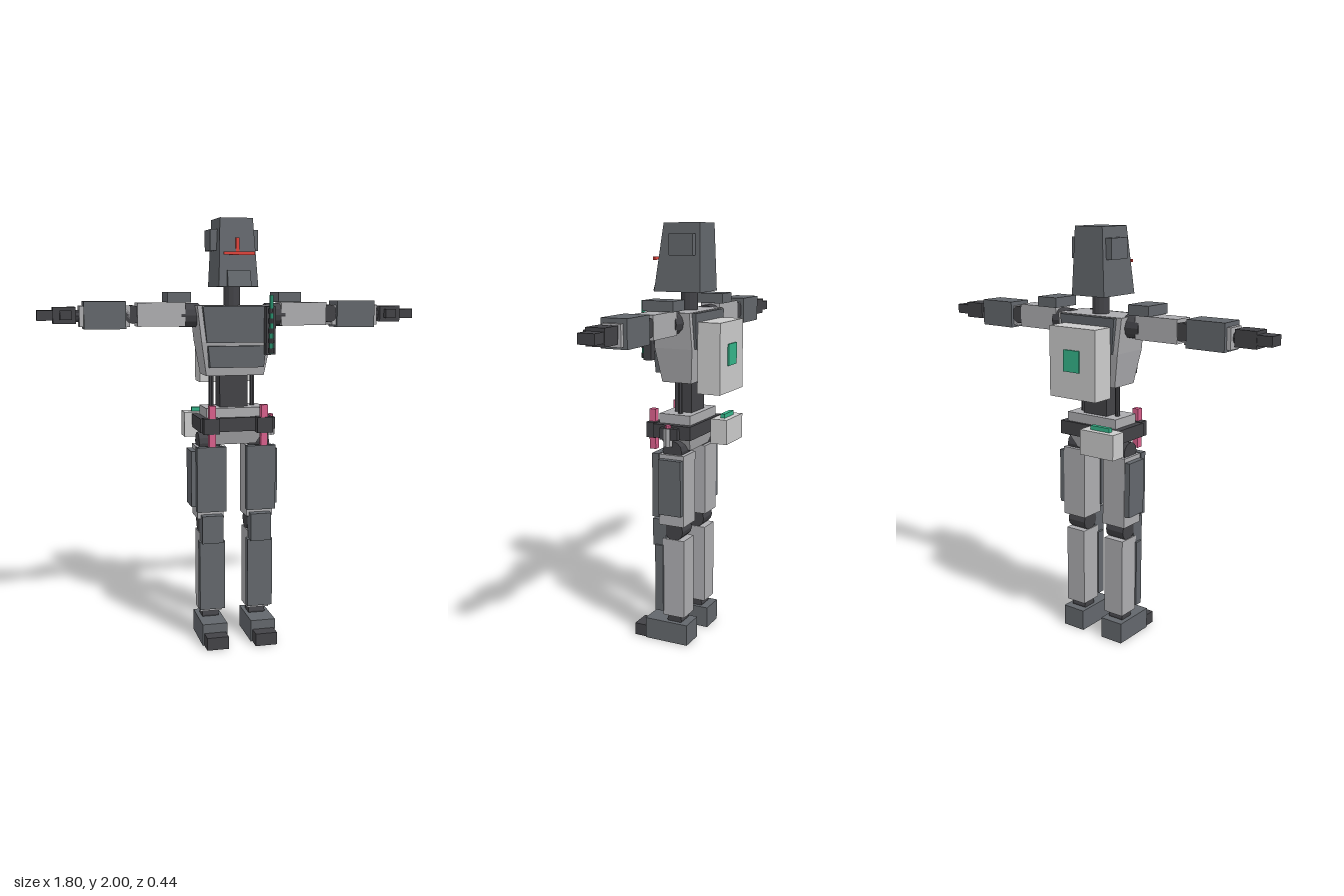
import * as THREE from 'three';

const mat = (color) => new THREE.MeshStandardMaterial({ color, flatShading: true });

export function createModel() {
  const root = new THREE.Group();
  const armor = mat(0x63676c), dark = mat(0x434347), frame = mat(0xadadb0);
  const pack = mat(0xcfd0ce), pink = mat(0xd9608c), green = mat(0x35b58a), red = mat(0xe0443c);

  const add = (parent, name, geo, material) => {
    const m = new THREE.Mesh(geo, material);
    m.name = name;
    parent.add(m);
    return m;
  };

  // Box given by its extents
  const box = (parent, name, material, x0, x1, y0, y1, z0, z1) => {
    const a = Math.min(x0, x1), b = Math.max(x0, x1);
    const geo = new THREE.BoxGeometry(b - a, y1 - y0, z1 - z0);
    geo.translate((a + b) / 2, (y0 + y1) / 2, (z0 + z1) / 2);
    return add(parent, name, geo, material);
  };

  // Tapered block: each end is [y, half width, back z, front z]
  const taper = (parent, name, material, low, high) => {
    const geo = new THREE.BoxGeometry(2, 2, 2), p = geo.attributes.position;
    for (let i = 0; i < p.count; i++) {
      const [y, w, back, front] = p.getY(i) < 0 ? low : high;
      p.setXYZ(i, p.getX(i) * w, y, p.getZ(i) < 0 ? back : front);
    }
    geo.computeVertexNormals();
    return add(parent, name, geo, material);
  };

  // Cylinder along x or y
  const rod = (parent, name, material, axis, r, len, x, y, z, sides = 12) => {
    const geo = new THREE.CylinderGeometry(r, r, len, sides);
    if (axis === 'x') geo.rotateZ(Math.PI / 2);
    geo.translate(x, y, z);
    return add(parent, name, geo, material);
  };

  const group = (name) => {
    const g = new THREE.Group();
    g.name = name;
    root.add(g);
    return g;
  };

  // Head
  const head = group('head');
  taper(head, 'helmet', armor, [1.69, 0.092, -0.095, 0.14], [2, 0.077, -0.088, 0.095]);
  taper(head, 'chinGuard', armor, [1.69, 0.055, 0.1, 0.163], [1.765, 0.053, 0.1, 0.142]);
  box(head, 'visorBar', red, -0.072, 0.072, 1.832, 1.846, 0.144, 0.154);
  box(head, 'visorStem', red, -0.008, 0.008, 1.846, 1.91, 0.108, 0.122);
  for (const s of [-1, 1]) box(head, 'earPlate', armor, s * 0.075, s * 0.113, 1.855, 1.95, -0.067, 0.053);
  rod(head, 'neck', dark, 'y', 0.04, 0.12, 0, 1.645, 0.003);

  // Torso
  const torso = group('torso');
  taper(torso, 'upperTorso', frame, [1.44, 0.165, -0.09, 0.1], [1.605, 0.183, -0.085, 0.095]);
  taper(torso, 'lowerTorso', frame, [1.28, 0.138, -0.073, 0.075], [1.44, 0.165, -0.09, 0.1]);
  taper(torso, 'chestPlate', armor, [1.435, 0.142, 0.06, 0.112], [1.602, 0.162, 0.06, 0.122]);
  taper(torso, 'abdomenPlate', armor, [1.32, 0.128, 0.05, 0.115], [1.42, 0.138, 0.05, 0.12]);
  taper(torso, 'backPlate', armor, [1.44, 0.14, -0.1, -0.06], [1.602, 0.155, -0.105, -0.06]);
  box(torso, 'waist', dark, -0.068, 0.068, 1.11, 1.29, -0.042, 0.046);
  for (const s of [-1, 1]) rod(torso, 'waistPiston', dark, 'y', 0.012, 0.17, s * 0.1, 1.205, 0, 8);

  // Backpack
  const backpack = group('backpack');
  box(backpack, 'packBody', pack, -0.133, 0.13, 1.235, 1.562, -0.213, -0.1);
  box(backpack, 'packPanel', green, -0.045, 0.045, 1.36, 1.46, -0.22, -0.21);

  // Glowing stick in a chest holder
  const stick = group('chestStick');
  box(stick, 'stickHolder', dark, 0.127, 0.172, 1.38, 1.6, 0.115, 0.155);
  rod(stick, 'glowStick', green, 'y', 0.01, 0.265, 0.148, 1.52, 0.165, 8);
  for (let i = 0; i < 5; i++) rod(stick, 'stickBand', dark, 'y', 0.013, 0.022, 0.148, 1.4 + i * 0.045, 0.165, 8);

  // Pelvis and belt
  const hips = group('hips');
  box(hips, 'pelvisTop', frame, -0.142, 0.142, 1.085, 1.13, -0.07, 0.09);
  box(hips, 'belt', dark, -0.175, 0.175, 1.02, 1.085, -0.085, 0.108);
  taper(hips, 'pelvisBase', frame, [0.955, 0.1, -0.05, 0.07], [1.02, 0.142, -0.065, 0.09]);
  for (const s of [-1, 1]) {
    box(hips, 'beltPouch', dark, s * 0.09, s * 0.165, 1.015, 1.088, 0.1, 0.148);
    box(hips, 'beltVial', pink, s * 0.108, s * 0.14, 0.955, 1.147, 0.112, 0.144);
  }
  box(hips, 'rearPouch', pack, -0.21, -0.02, 0.97, 1.09, -0.183, -0.1);
  box(hips, 'rearPouchLight', green, -0.168, -0.06, 1.088, 1.11, -0.155, -0.133);
  box(hips, 'canisterMount', dark, 0.16, 0.2, 1.02, 1.075, -0.03, 0.06);
  rod(hips, 'canister', frame, 'y', 0.022, 0.085, 0.186, 1.03, 0.022, 8);
  rod(hips, 'canisterCap', pink, 'y', 0.014, 0.015, 0.186, 1.08, 0.022, 8);

  for (const s of [-1, 1]) {
    // Arm
    const arm = group(s > 0 ? 'leftArm' : 'rightArm');
    rod(arm, 'shoulderJoint', dark, 'x', 0.055, 0.09, s * 0.205, 1.56, 0, 12);
    box(arm, 'shoulderPad', armor, s * 0.208, s * 0.318, 1.62, 1.667, -0.073, 0.078);
    box(arm, 'upperArm', frame, s * 0.23, s * 0.452, 1.51, 1.618, -0.048, 0.053);
    const elbow = add(arm, 'elbow', new THREE.CylinderGeometry(0.042, 0.042, 0.09, 12), dark);
    elbow.rotation.x = Math.PI / 2;
    elbow.position.set(s * 0.472, 1.565, 0);
    box(arm, 'forearm', frame, s * 0.485, s * 0.713, 1.51, 1.605, -0.042, 0.045);
    box(arm, 'forearmArmor', armor, s * 0.505, s * 0.694, 1.5, 1.625, -0.06, 0.062);
    rod(arm, 'wrist', dark, 'x', 0.028, 0.05, s * 0.72, 1.56, 0.003, 10);
    box(arm, 'palm', dark, s * 0.728, s * 0.83, 1.525, 1.6, -0.038, 0.05);
    box(arm, 'fingers', dark, s * 0.825, s * 0.9, 1.54, 1.585, -0.036, 0.042);
    box(arm, 'thumb', dark, s * 0.748, s * 0.8, 1.543, 1.585, 0.045, 0.078);

    // Leg
    const leg = group(s > 0 ? 'leftLeg' : 'rightLeg');
    rod(leg, 'hipJoint', dark, 'x', 0.05, 0.1, s * 0.12, 0.96, 0.01, 12);
    box(leg, 'thigh', frame, s * 0.056, s * 0.183, 0.6, 0.945, -0.055, 0.074);
    box(leg, 'thighFrontPlate', armor, s * 0.05, s * 0.19, 0.638, 0.948, 0.07, 0.105);
    box(leg, 'thighSidePlate', armor, s * 0.18, s * 0.21, 0.658, 0.925, -0.052, 0.064);
    rod(leg, 'knee', dark, 'x', 0.048, 0.1, s * 0.117, 0.57, 0.005, 12);
    box(leg, 'kneePad', armor, s * 0.068, s * 0.168, 0.487, 0.62, 0.045, 0.115);
    box(leg, 'shin', frame, s * 0.064, s * 0.17, 0.137, 0.527, -0.05, 0.062);
    box(leg, 'shinPlate', armor, s * 0.056, s * 0.178, 0.158, 0.492, 0.058, 0.1);
    rod(leg, 'ankle', dark, 'x', 0.038, 0.08, s * 0.116, 0.112, 0.008, 12);
    box(leg, 'foot', armor, s * 0.058, s * 0.178, 0, 0.104, -0.068, 0.156);
    box(leg, 'toe', dark, s * 0.066, s * 0.17, 0, 0.06, 0.15, 0.22);
  }
  return root;
}
